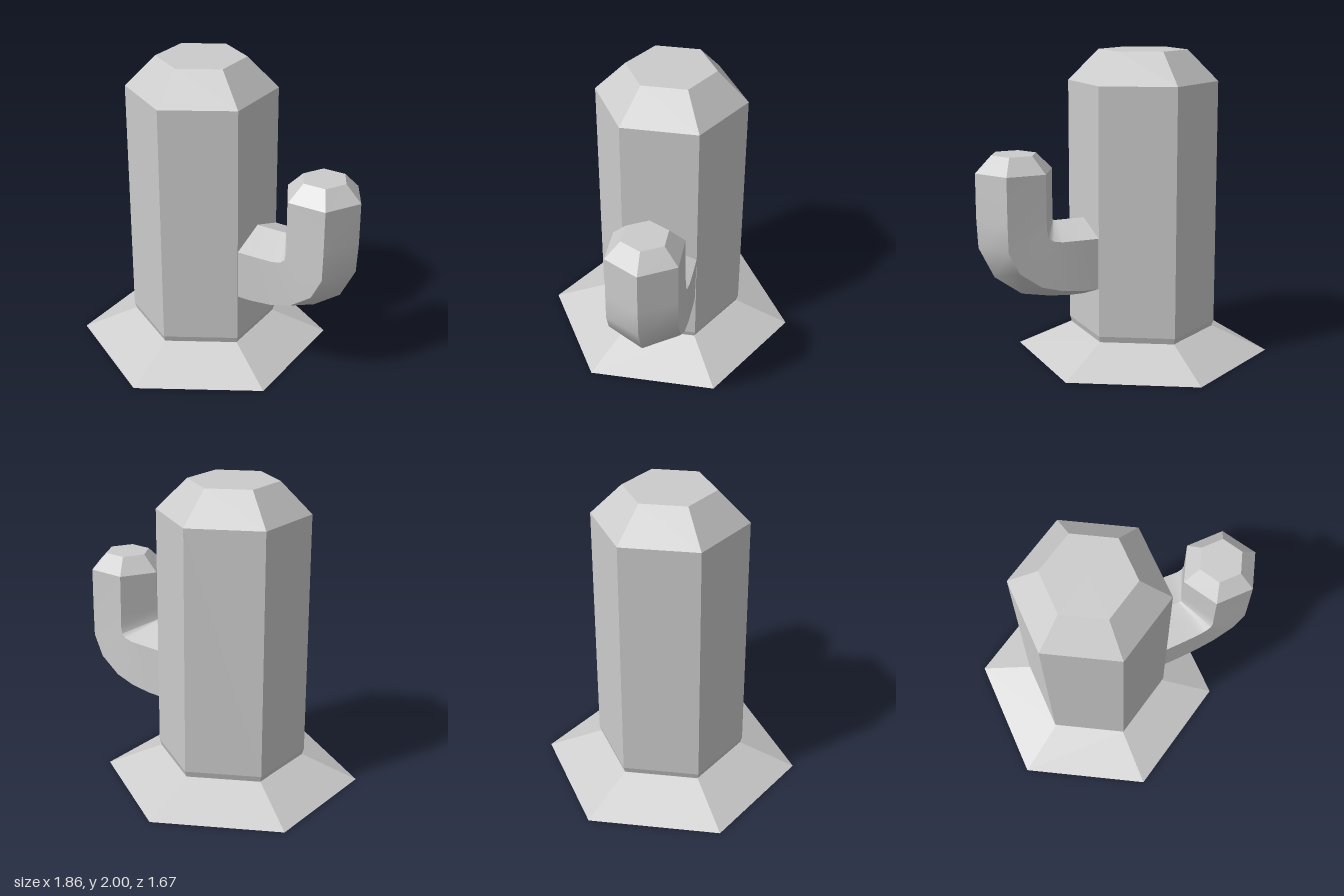
import * as THREE from 'three';
import { toCreasedNormals } from 'three/addons/utils/BufferGeometryUtils.js';

const TRUNK_X = -0.21;

// Six-sided loft, mirrored in z. Each section holds the xy positions of the
// inner ridge, inner edge, outer edge and outer ridge, then the edges' half widths.
function loftArm(sections) {
  const positions = [];
  const index = [];
  for (const [ix, iy, ex, ey, ox, oy, rx, ry, wi, wo] of sections) {
    positions.push(
      ix, iy, 0, ex, ey, wi, ox, oy, wo,
      rx, ry, 0, ox, oy, -wo, ex, ey, -wi
    );
  }
  for (let i = 0; i < sections.length - 1; i++) {
    for (let j = 0; j < 6; j++) {
      const a = i * 6 + j;
      const b = i * 6 + (j + 1) % 6;
      index.push(a, b, b + 6, a, b + 6, a + 6);
    }
  }
  // End caps
  const top = (sections.length - 1) * 6;
  for (let j = 1; j < 5; j++) {
    index.push(top, top + j, top + j + 1);
    index.push(0, j + 1, j);
  }
  const geometry = new THREE.BufferGeometry();
  geometry.setAttribute('position', new THREE.Float32BufferAttribute(positions, 3));
  geometry.setIndex(index);
  return toCreasedNormals(geometry, 0.6);
}

export function createModel() {
  const model = new THREE.Group();
  model.name = 'cactus';
  const flat = new THREE.MeshStandardMaterial({ color: 0xcccccc, flatShading: true });
  const smooth = new THREE.MeshStandardMaterial({ color: 0xcccccc });

  const add = (name, geometry, material) => {
    const mesh = new THREE.Mesh(geometry, material);
    mesh.name = name;
    model.add(mesh);
    return mesh;
  };

  // Sloping hexagonal mound of soil
  const mound = add('groundMound', new THREE.CylinderGeometry(0.475, 0.835, 0.16, 6), flat);
  mound.position.set(TRUNK_X, 0.08, 0);

  // Hexagonal trunk with a bevelled foot and crown
  const profile = [
    [0, 0], [0.41, 0], [0.472, 0.16], [0.485, 0.2], [0.485, 1.8], [0.287, 2], [0, 2],
  ].map(([r, y]) => new THREE.Vector2(r, y));
  const trunk = add('trunk', new THREE.LatheGeometry(profile, 6), flat);
  trunk.position.x = TRUNK_X;

  // Side arm bending upward, with a bevelled tip
  add('arm', loftArm([
    [0.15, 0.935, 0.15, 0.845, 0.15, 0.515, 0.15, 0.425, 0.243, 0.237],
    [0.30, 0.935, 0.31, 0.845, 0.30, 0.515, 0.32, 0.425, 0.24, 0.235],
    [0.40, 0.935, 0.45, 0.845, 0.45, 0.53, 0.46, 0.44, 0.235, 0.233],
    [0.415, 0.936, 0.51, 0.855, 0.59, 0.57, 0.64, 0.475, 0.23, 0.23],
    [0.422, 0.938, 0.54, 0.88, 0.73, 0.67, 0.82, 0.605, 0.228, 0.227],
    [0.425, 0.945, 0.55, 0.93, 0.80, 0.81, 0.92, 0.805, 0.226, 0.224],
    [0.425, 1.02, 0.55, 1.01, 0.803, 1.0, 0.93, 1.0, 0.223, 0.222],
    [0.425, 1.275, 0.55, 1.275, 0.803, 1.275, 0.93, 1.275, 0.22, 0.22],
    [0.53, 1.38, 0.603, 1.38, 0.752, 1.38, 0.825, 1.38, 0.13, 0.13],
  ]), smooth);

  return model;
}
